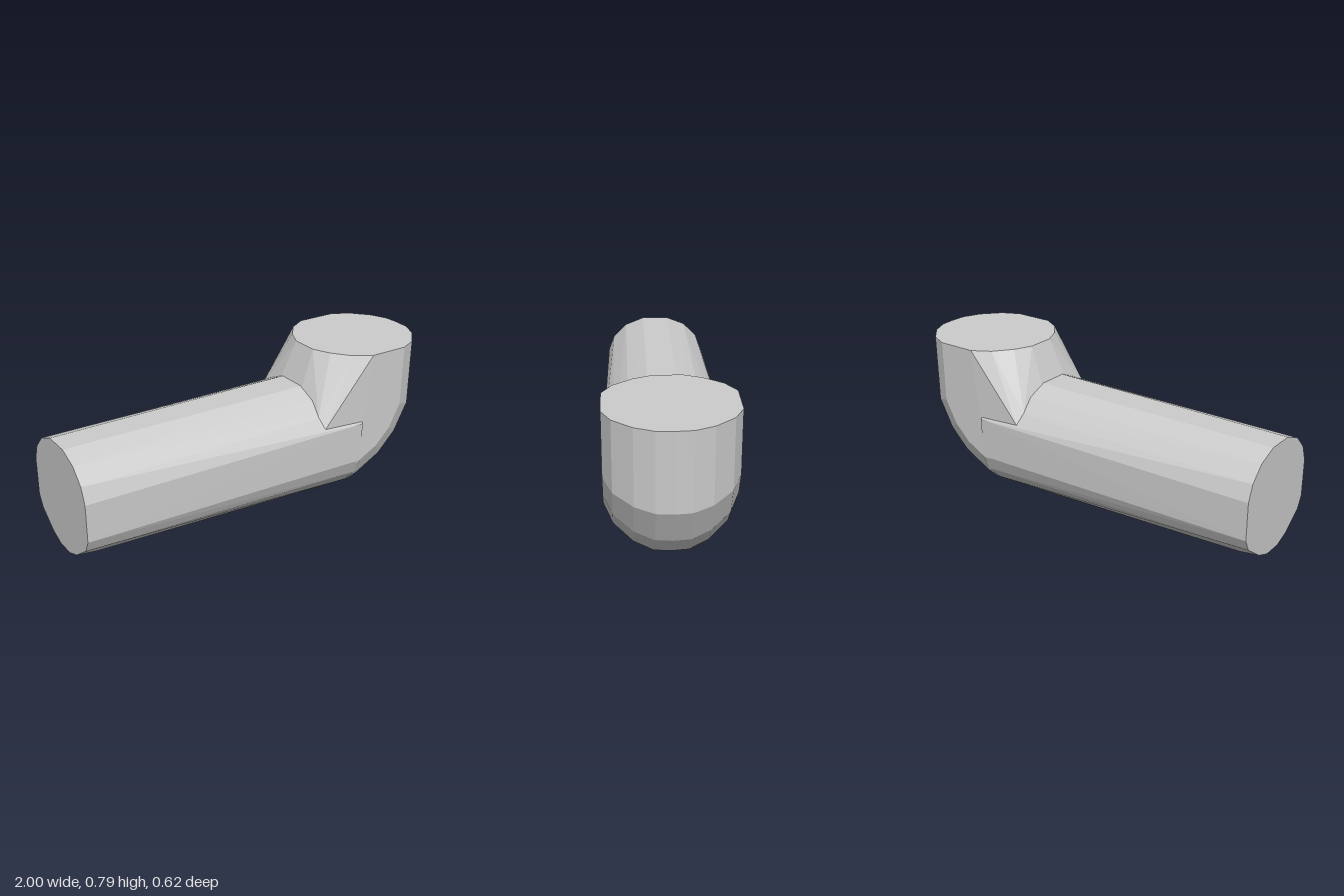
import * as THREE from 'three';
import { ConvexGeometry } from 'three/addons/geometries/ConvexGeometry.js';

const material = new THREE.MeshStandardMaterial({ color: 0xcccccc, flatShading: true });

// Points mirrored across the z = 0 plane
const mirrored = (list) => list.flatMap(([x, y, z]) => [
  new THREE.Vector3(x, y, z), new THREE.Vector3(x, y, -z),
]);

function hull(name, points) {
  const mesh = new THREE.Mesh(new ConvexGeometry(mirrored(points)), material);
  mesh.name = name;
  return mesh;
}

export function createModel() {
  const group = new THREE.Group();
  group.name = 'pipeElbow';

  // Straight pipe: half sections [y, z], slightly narrower at the far end
  const farEnd = [[0.61, 0.07], [0.57, 0.17], [0.5, 0.24], [0.42, 0.27], [0.23, 0.27], [0.17, 0.24], [0.09, 0.13], [0.06, 0.05]];
  const nearEnd = [[0.61, 0.08], [0.565, 0.18], [0.5, 0.255], [0.43, 0.31], [0.22, 0.305], [0.14, 0.272], [0.06, 0.195], [0.003, 0.1]];
  group.add(hull('straightPipe', [
    ...farEnd.map(([y, z]) => [-1, y, z]),
    [-0.87, 0.035, 0.07],
    [0, 0.01, 0.09],
    ...nearEnd.map(([y, z]) => [0.53, y, z]),
  ]));

  // Elbow: half section [distance from bend pivot, z], swept a quarter turn
  const section = [[0, 0.07], [0.04, 0.16], [0.11, 0.25], [0.2, 0.303], [0.4, 0.303], [0.49, 0.26], [0.57, 0.17], [0.61, 0.08], [0.615, 0]];
  const px = 0.38, py = 0.61;
  const elbow = [];
  // Flat open end on top
  for (const [d, z] of section) elbow.push([px + d * 1.008, 0.79, z]);
  // Faceted outside of the bend
  for (const degrees of [18.5, 37, 53, 72]) {
    const a = THREE.MathUtils.degToRad(degrees);
    for (const [d, z] of section.slice(4)) {
      const r = d * 1.05;
      elbow.push([px + r * Math.cos(a), Math.max(0, py - r * Math.sin(a)), z]);
    }
  }
  // Inner throat where the bend runs into the straight pipe
  elbow.push([0.3, 0.6, 0.09], [0.29, 0.5, 0.25], [0.305, 0.45, 0.292], [0.32, 0.25, 0.29], [0.4, 0.1, 0.2]);
  group.add(hull('elbow', elbow));

  return group;
}
